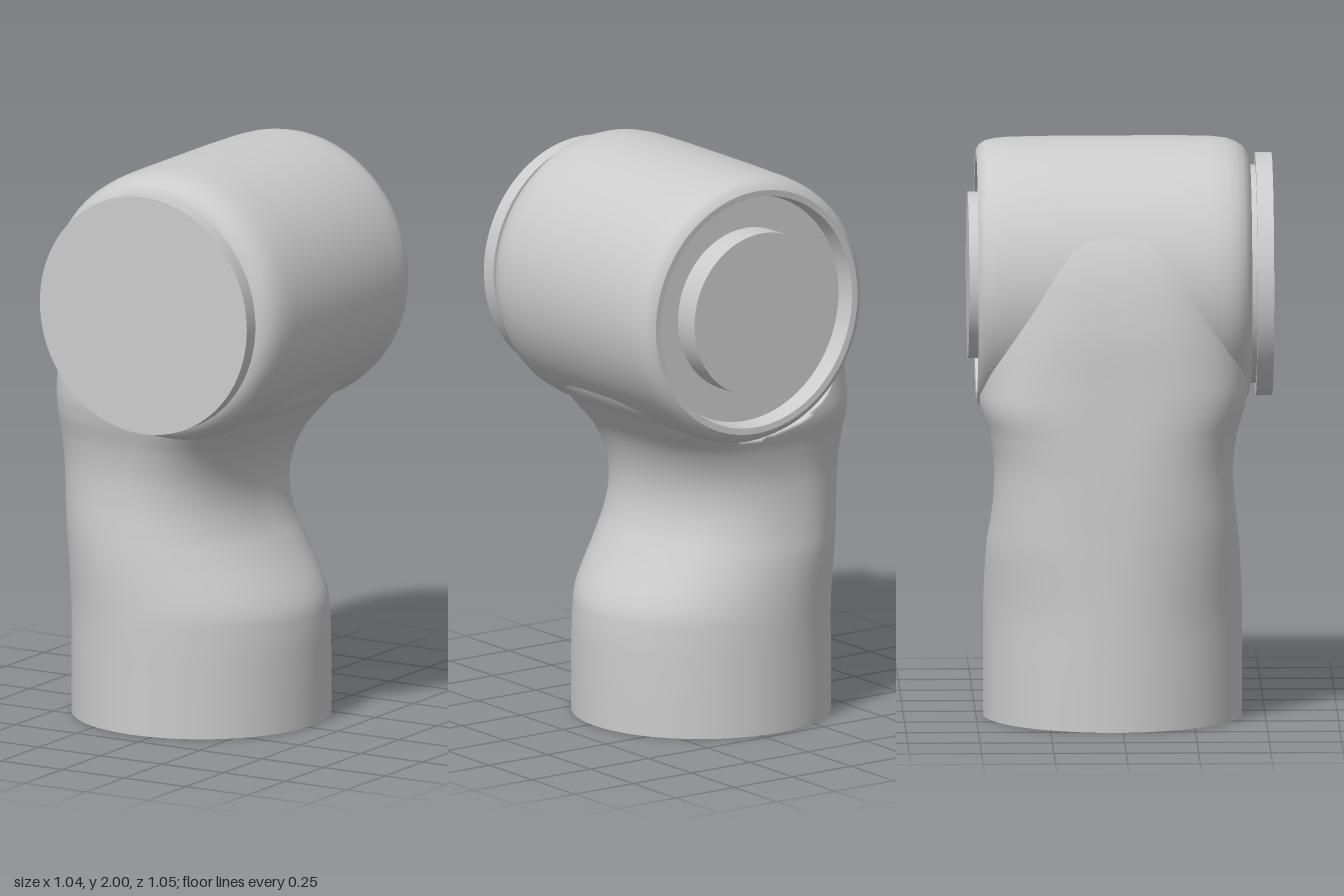
import * as THREE from 'three';
import { toCreasedNormals } from 'three/addons/utils/BufferGeometryUtils.js';

const AXIS_X = 0.035, AXIS_Y = 1.52; // axis of the joint barrel, running along z
const material = new THREE.MeshStandardMaterial({ color: 0xcccccc });

function addMesh(group, name, geometry) {
  const mesh = new THREE.Mesh(geometry, material);
  mesh.name = name;
  group.add(mesh);
  return mesh;
}

// Solid of revolution about the joint axis, from [radius, z] pairs running back to front
function turned(profile) {
  const points = profile.map(([r, z]) => new THREE.Vector2(r, z));
  const geometry = toCreasedNormals(new THREE.LatheGeometry(points, 96), 0.6);
  return geometry.rotateX(Math.PI / 2).translate(AXIS_X, AXIS_Y, 0);
}

// Column sections: y, xMin, xMax, zMin, zMax, squareness (2 = ellipse)
const SECTIONS = [
  [0, -0.52, 0.38, -0.475, 0.42, 2],
  [0.2, -0.52, 0.38, -0.475, 0.42, 2],
  [0.35, -0.519, 0.375, -0.475, 0.42, 2],
  [0.45, -0.518, 0.352, -0.473, 0.418, 2.05],
  [0.6, -0.517, 0.26, -0.465, 0.41, 2.15],
  [0.7, -0.516, 0.207, -0.45, 0.4, 2.25],
  [0.8, -0.515, 0.185, -0.44, 0.39, 2.35],
  [0.9, -0.513, 0.195, -0.44, 0.388, 2.5],
  [1.0, -0.51, 0.235, -0.458, 0.402, 2.75],
  [1.1, -0.506, 0.31, -0.488, 0.43, 3.1],
  [1.2, -0.502, 0.385, -0.488, 0.443, 3.2],
  [1.4, -0.492, 0.4, -0.47, 0.43, 3],
  [1.6, -0.453, 0.35, -0.44, 0.4, 3],
  [1.75, -0.38, 0.2, -0.42, 0.37, 3],
  [1.85, -0.27, 0.1, -0.38, 0.33, 3],
];

// Smooth loft through the sections, kept clear of the recess in the barrel
function columnGeometry() {
  const curve = (i, j, k) => new THREE.CatmullRomCurve3(
    SECTIONS.map((s) => new THREE.Vector3(s[i], s[j], s[k])), false, 'catmullrom', 0.5);
  const xCurve = curve(1, 0, 2), zCurve = curve(3, 5, 4);
  const rings = 98, sides = 112;
  const positions = [], index = [];
  for (let r = 0; r <= rings; r++) {
    const p = xCurve.getPoint(r / rings), q = zCurve.getPoint(r / rings);
    for (let s = 0; s < sides; s++) {
      const t = (s / sides) * Math.PI * 2;
      const power = (v) => Math.sign(v) * Math.abs(v) ** (2 / q.y);
      const x = (p.x + p.z) / 2 + (p.z - p.x) / 2 * power(Math.cos(t));
      let z = (q.x + q.z) / 2 + (q.z - q.x) / 2 * power(Math.sin(t));
      if (Math.hypot(x - AXIS_X, p.y - AXIS_Y) < 0.45) z = Math.max(z, -0.41);
      positions.push(x, p.y, z);
      if (r < rings) {
        const a = r * sides + s, b = r * sides + (s + 1) % sides;
        index.push(a, a + sides, b, b, a + sides, b + sides);
      }
    }
  }
  const geometry = new THREE.BufferGeometry();
  geometry.setAttribute('position', new THREE.Float32BufferAttribute(positions, 3));
  geometry.setIndex(index);
  geometry.computeVertexNormals();
  return geometry;
}

export function createModel() {
  const group = new THREE.Group();
  group.name = 'elbowLink';

  // Upright with its scooped neck, and the flat foot face
  addMesh(group, 'column', columnGeometry());
  const foot = new THREE.CircleGeometry(0.45, 112);
  foot.rotateX(Math.PI / 2).scale(1, 1, 0.4475 / 0.45).translate(-0.07, 0, -0.0275);
  addMesh(group, 'columnBase', foot);

  // Joint barrel with rounded ends and a recess at the back
  addMesh(group, 'jointBarrel', turned([
    [0, -0.43], [0.4, -0.43], [0.41, -0.495], [0.432, -0.497], [0.452, -0.485], [0.465, -0.465],
    [0.473, -0.43], [0.477, -0.38], [0.48, -0.2], [0.48, 0.2], [0.478, 0.31], [0.472, 0.365],
    [0.46, 0.4], [0.443, 0.425], [0.42, 0.442], [0.39, 0.45], [0, 0.45],
  ]));

  // Front flange on a narrower neck
  addMesh(group, 'frontFlange', turned([
    [0.378, 0.44], [0.378, 0.468], [0.42, 0.468], [0.42, 0.525], [0, 0.525],
  ]));

  // Round boss standing in the back recess
  addMesh(group, 'backBoss', turned([[0, -0.526], [0.288, -0.526], [0.288, -0.425]]));

  return group;
}
